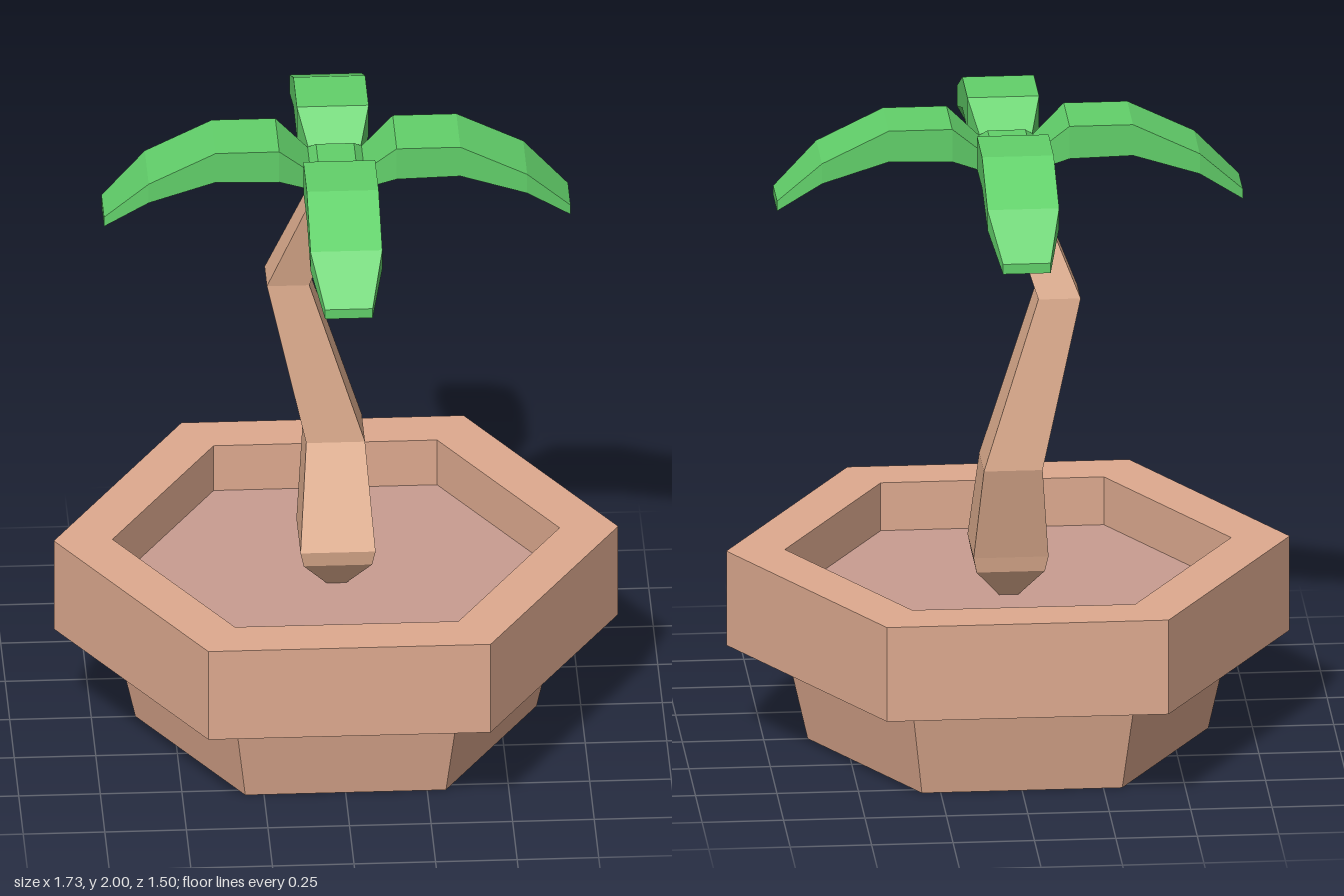
import * as THREE from 'three';

const material = (color) => new THREE.MeshStandardMaterial({ color, flatShading: true });

// Skin through a list of four-cornered rings, closed at both ends.
function loft(rings) {
  const pos = [];
  const quad = (a, b, c, d) => [a, b, c, a, c, d].forEach((p) => pos.push(...p));
  for (let i = 0; i < rings.length - 1; i++) {
    for (let k = 0; k < 4; k++) {
      const n = (k + 1) % 4;
      quad(rings[i][k], rings[i][n], rings[i + 1][n], rings[i + 1][k]);
    }
  }
  const [a, b, c, d] = rings[0];
  quad(d, c, b, a);
  quad(...rings[rings.length - 1]);
  const g = new THREE.BufferGeometry();
  g.setAttribute('position', new THREE.Float32BufferAttribute(pos, 3));
  g.computeVertexNormals();
  return g;
}

// Horizontal square ring, counter-clockwise from above.
const level = (x, y, z, h) => [
  [x - h, y, z + h], [x + h, y, z + h], [x + h, y, z - h], [x - h, y, z - h],
];

// Upright ring across a frond that grows along +z.
const slice = (z, h, low, high) => [
  [-h, low, z], [h, low, z], [h, high, z], [-h, high, z],
];

export function createModel() {
  const model = new THREE.Group();
  const add = (name, geometry, mat, parent = model) => {
    const mesh = new THREE.Mesh(geometry, mat);
    mesh.name = name;
    parent.add(mesh);
    return mesh;
  };
  const clay = material(0xdeaa8f);
  const soil = material(0xc99d91);
  const bark = material(0xe2b091);
  const leaf = material(0x62d06a);

  // Six-sided pot with an overhanging rim and a hollow top
  const profile = [
    [0, 0], [0.615, 0], [0.685, 0.31], [0.865, 0.31],
    [0.865, 0.615], [0.685, 0.615], [0.685, 0.46],
  ].map(([r, y]) => new THREE.Vector2(r, y));
  add('pot', new THREE.LatheGeometry(profile, 6, Math.PI / 2), clay);

  // Soil inside the pot
  const bed = new THREE.CircleGeometry(0.685, 6).rotateX(-Math.PI / 2);
  add('soil', bed.translate(0, 0.46, 0), soil);

  // Crooked square trunk
  add('trunk', loft([
    level(0, 0.46, 0, 0.03),
    level(0, 0.56, 0, 0.105),
    level(0, 0.61, 0, 0.115),
    level(0, 0.92, -0.11, 0.09),
    level(-0.145, 1.46, -0.098, 0.065),
    level(0, 1.86, 0, 0.05),
  ]), bark);

  // Crown: bevelled core and four drooping fronds
  const crown = new THREE.Group();
  crown.name = 'crown';
  model.add(crown);
  add('crownCore', loft([
    level(0, 1.85, 0, 0.085), level(0, 1.91, 0, 0.085), level(0, 1.935, 0, 0.058),
  ]), leaf, crown);

  const frond = loft([
    slice(0.08, 0.08, 1.85, 1.91),
    slice(0.18, 0.11, 1.895, 2.0),
    slice(0.375, 0.11, 1.9, 2.0),
    slice(0.58, 0.11, 1.835, 1.9),
    slice(0.715, 0.073, 1.738, 1.77),
  ]);
  for (let i = 0; i < 4; i++) {
    add('frond', frond, leaf, crown).rotation.y = (i * Math.PI) / 2;
  }
  return model;
}
